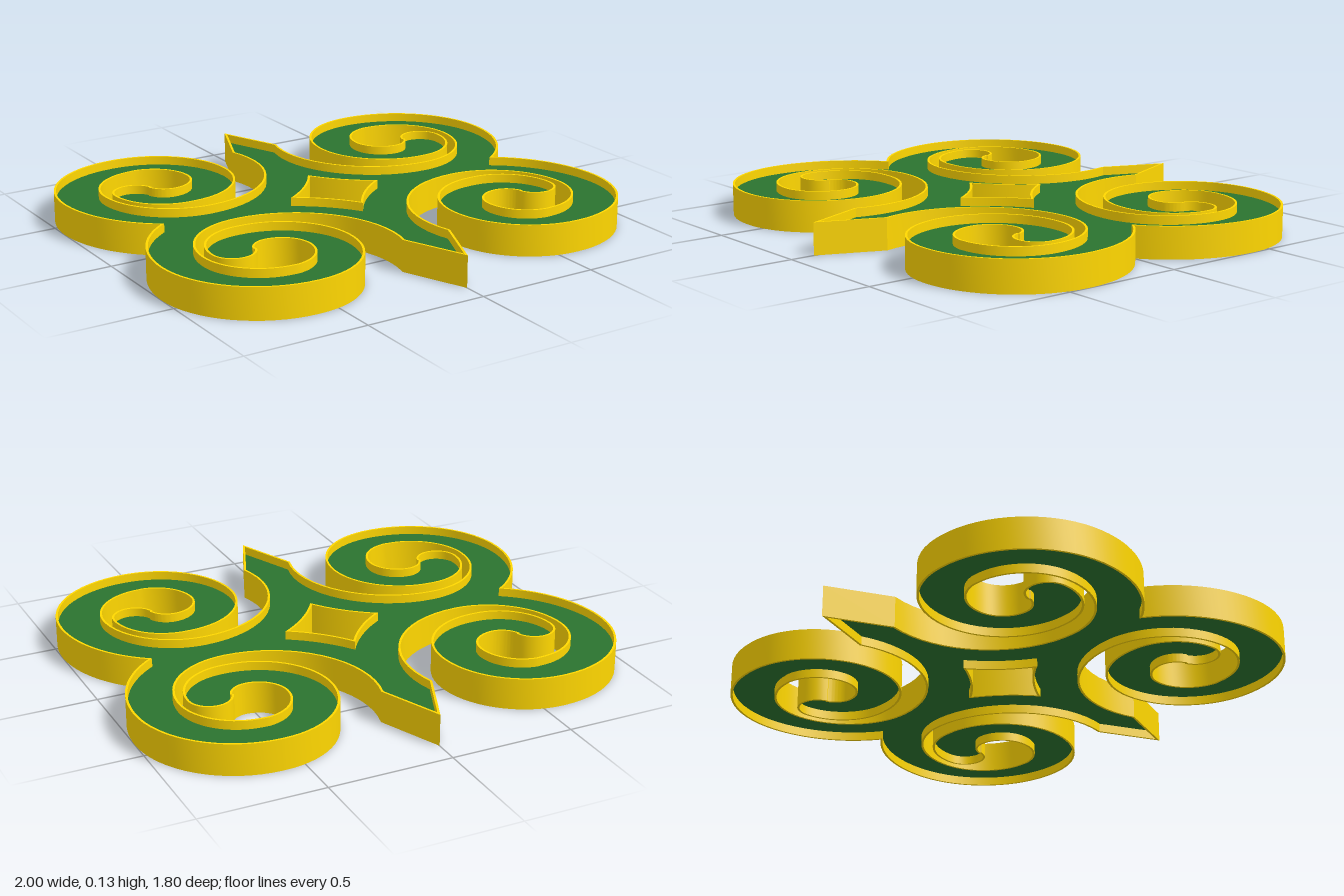
import * as THREE from 'three';
import { toCreasedNormals } from 'three/addons/utils/BufferGeometryUtils.js';

const HEIGHT = 0.127, RECESS = 0.035, WALL = 0.009;

// One quarter of the outline: arcs as [centreX, centreY, radius, startDeg, endDeg]
const ARCS = [
  [0.51, 0.52, 0.42, 163.5, 270],    // neck below the spear point
  [0.51, 0.405, 0.305, 270, 360],    // inside of the scroll
  [0.583, 0.405, 0.232, 0, 90],
  [0.583, 0.475, 0.164, 90, 180],
  [0.535, 0.475, 0.116, 180, 270],
  [0.535, 0.441, 0.082, 270, 340],
  [0.695, 0.395, 0.09, 165, 0],      // round end of the scroll
  [0.56, 0.395, 0.225, 0, -90],      // outside of the scroll
  [0.54, 0.475, 0.305, -90, -180],
  [0.58, 0.475, 0.345, 180, 90],
  [0.59, 0.41, 0.41, 90, 0],
  [0.5, 0.41, 0.5, 0, -55.1],        // down to the notch on the side
];

function quarterOutline() {
  const pts = [new THREE.Vector2(0, 0.9)];
  for (const [cx, cy, r, a0, a1] of ARCS) {
    const n = 16;
    for (let i = 0; i <= n; i++) {
      const a = THREE.MathUtils.degToRad(a0 + (a1 - a0) * i / n);
      const p = new THREE.Vector2(cx + r * Math.cos(a), cy + r * Math.sin(a));
      if (p.distanceTo(pts[pts.length - 1]) > 0.006) pts.push(p);
    }
  }
  pts[pts.length - 1].y = 0;
  return pts;
}

// Closes a quarter (from the y axis to the x axis) into a full clockwise loop
function mirrorQuarter(q) {
  const flip = (p, sx, sy) => new THREE.Vector2(p.x * sx, p.y * sy);
  const back = [...q].reverse();
  return [
    ...q.slice(0, -1),
    ...back.slice(0, -1).map(p => flip(p, 1, -1)),
    ...q.slice(0, -1).map(p => flip(p, -1, -1)),
    ...back.slice(0, -1).map(p => flip(p, -1, 1)),
  ];
}

// Mitred offset; a positive distance moves a clockwise loop inwards
function offsetLoop(pts, d) {
  const n = pts.length;
  const normal = (a, b) => new THREE.Vector2(b.y - a.y, a.x - b.x).normalize();
  return pts.map((p, i) => {
    const n0 = normal(pts[(i + n - 1) % n], p);
    const n1 = normal(p, pts[(i + 1) % n]);
    const m = n0.clone().add(n1).normalize();
    return p.clone().addScaledVector(m, d / Math.max(m.dot(n1), 0.35));
  });
}

// Flat-lying slab between heights y0 and y1; the hole runs counter-clockwise
function slab(name, outer, hole, y0, y1, material) {
  const shape = new THREE.Shape(outer);
  shape.holes.push(new THREE.Path([...hole].reverse()));
  const geo = new THREE.ExtrudeGeometry(shape, { depth: y1 - y0, bevelEnabled: false });
  geo.rotateX(-Math.PI / 2);
  geo.translate(0, y0, 0);
  const mesh = new THREE.Mesh(toCreasedNormals(geo, 0.45), material);
  mesh.name = name;
  return mesh;
}

export function createModel() {
  const group = new THREE.Group();
  group.name = 'scrollOrnament';
  const gold = new THREE.MeshStandardMaterial({ color: 0xffd700 });
  const green = new THREE.MeshStandardMaterial({ color: 0x2b742f });

  const outer = mirrorQuarter(quarterOutline());
  const inner = offsetLoop(outer, WALL);

  // Central diamond opening with sides curving inwards
  const side = new THREE.QuadraticBezierCurve(
    new THREE.Vector2(0, 0.19), new THREE.Vector2(0.075, 0.075), new THREE.Vector2(0.19, 0));
  const diamond = mirrorQuarter(side.getPoints(12));
  const diamondOuter = offsetLoop(diamond, -WALL);

  // Gold walls stand proud of the green filling on both faces
  group.add(slab('outerRim', outer, inner, 0, HEIGHT, gold));
  group.add(slab('diamondRim', diamondOuter, diamond, 0, HEIGHT, gold));
  group.add(slab('filling', inner, diamondOuter, RECESS, HEIGHT - RECESS, green));
  return group;
}
